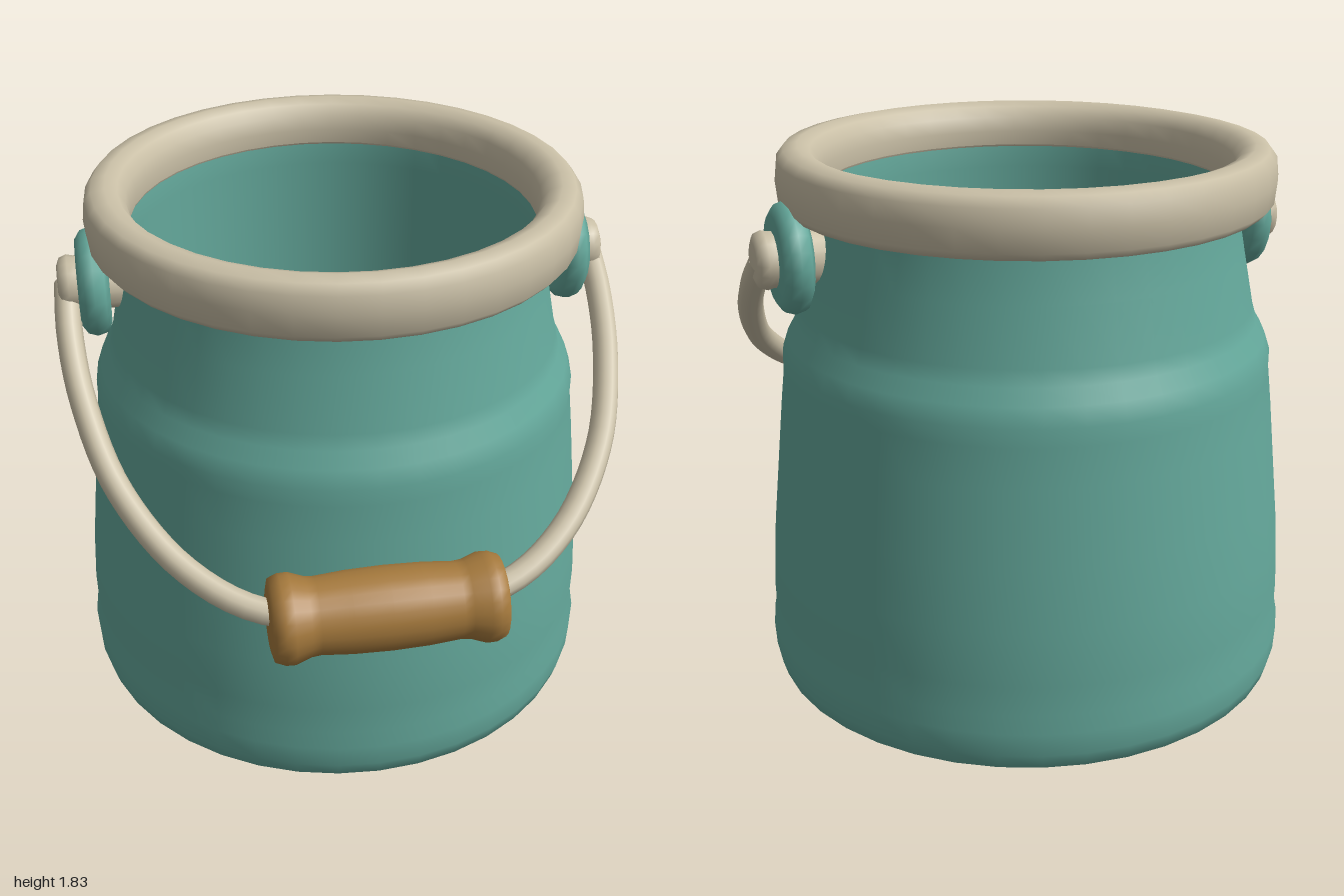
import * as THREE from 'three';

export function createModel() {
  const teal = new THREE.MeshStandardMaterial({ color: 0x64a89b });
  teal.name = 'teal paint';
  const cream = new THREE.MeshStandardMaterial({ color: 0xc9bfa6 });
  cream.name = 'cream trim';
  const wood = new THREE.MeshStandardMaterial({ color: 0xa67a3d });
  wood.name = 'brown wood';

  const group = new THREE.Group();
  group.name = 'bucket';
  const CZ = -0.095; // bucket axis

  function add(name, geometry, material, x = 0, y = 0, z = 0) {
    const mesh = new THREE.Mesh(geometry, material);
    mesh.name = name;
    mesh.position.set(x, y, z);
    group.add(mesh);
    return mesh;
  }
  const lathe = (pts, n) =>
    new THREE.LatheGeometry(pts.map(([r, y]) => new THREE.Vector2(r, y)), n);

  // Bucket wall: outside from the base up, over the lip, then down to the inner floor
  add('body', lathe([
    [0, 0.005], [0.8, 0.005], [0.85, 0.01], [0.88, 0.03], [0.895, 0.08], [0.9, 0.16],
    [0.888, 0.22], [0.89, 0.32], [0.88, 0.5], [0.86, 0.7], [0.835, 0.95], [0.82, 1.08],
    [0.82, 1.14], [0.8, 1.2], [0.77, 1.25], [0.755, 1.3], [0.72, 1.48], [0.69, 1.64],
    [0.69, 1.73], [0.675, 1.73], [0.67, 1.6], [0.67, 0.3], [0.66, 0.2], [0.63, 0.14],
    [0.57, 0.11], [0, 0.1]], 40), teal, 0, 0, CZ);

  // Rounded rim band
  add('rim', lathe([
    [0.67, 1.68], [0.69, 1.635], [0.74, 1.63], [0.785, 1.635], [0.808, 1.66], [0.815, 1.73],
    [0.808, 1.79], [0.785, 1.82], [0.74, 1.83], [0.7, 1.815], [0.675, 1.78], [0.665, 1.73],
    [0.67, 1.68]], 40), cream, 0, 0, CZ);

  // Side discs and the pins that pass through them
  const disc = lathe([
    [0, -0.05], [0.14, -0.05], [0.17, -0.035], [0.18, 0], [0.17, 0.03],
    [0.14, 0.05], [0, 0.055]], 20);
  const pin = lathe([
    [0, -0.12], [0.09, -0.12], [0.09, 0.07], [0.095, 0.09], [0.085, 0.115],
    [0.06, 0.125], [0, 0.125]], 16);
  for (const s of [1, -1]) {
    const side = s > 0 ? 'left' : 'right';
    add(side + 'Disc', disc, teal, s * 0.8, 1.51, CZ).rotation.z = -s * Math.PI / 2;
    add(side + 'Pin', pin, cream, s * 0.79, 1.51, CZ).rotation.z = -s * Math.PI / 2;
  }

  // Bail wire lies in a tilted plane, hanging toward the front
  const half = [[0.885, -0.1], [0.89, 0.05], [0.865, 0.24], [0.78, 0.48], [0.6, 0.7], [0.37, 0.825]];
  const toPoint = ([x, z]) => new THREE.Vector3(x, 1.51 - 0.77 * (z + 0.1), z);
  const path = new THREE.CatmullRomCurve3([
    ...half.map(toPoint),
    toPoint([0, 0.85]),
    ...half.slice().reverse().map(([x, z]) => toPoint([-x, z])),
  ]);
  add('bailWire', new THREE.TubeGeometry(path, 64, 0.043, 10), cream);

  // Turned grip with flared ends
  const grip = [
    [0, -0.368], [0.1, -0.368], [0.13, -0.36], [0.142, -0.33], [0.143, -0.3],
    [0.125, -0.25], [0.122, -0.22], [0.13, -0.12], [0.133, 0]];
  const gripProfile = [...grip, ...grip.slice(0, -1).reverse().map(([r, y]) => [r, -y])];
  add('grip', lathe(gripProfile, 24), wood, 0, 0.785, 0.853).rotation.z = Math.PI / 2;

  return group;
}
